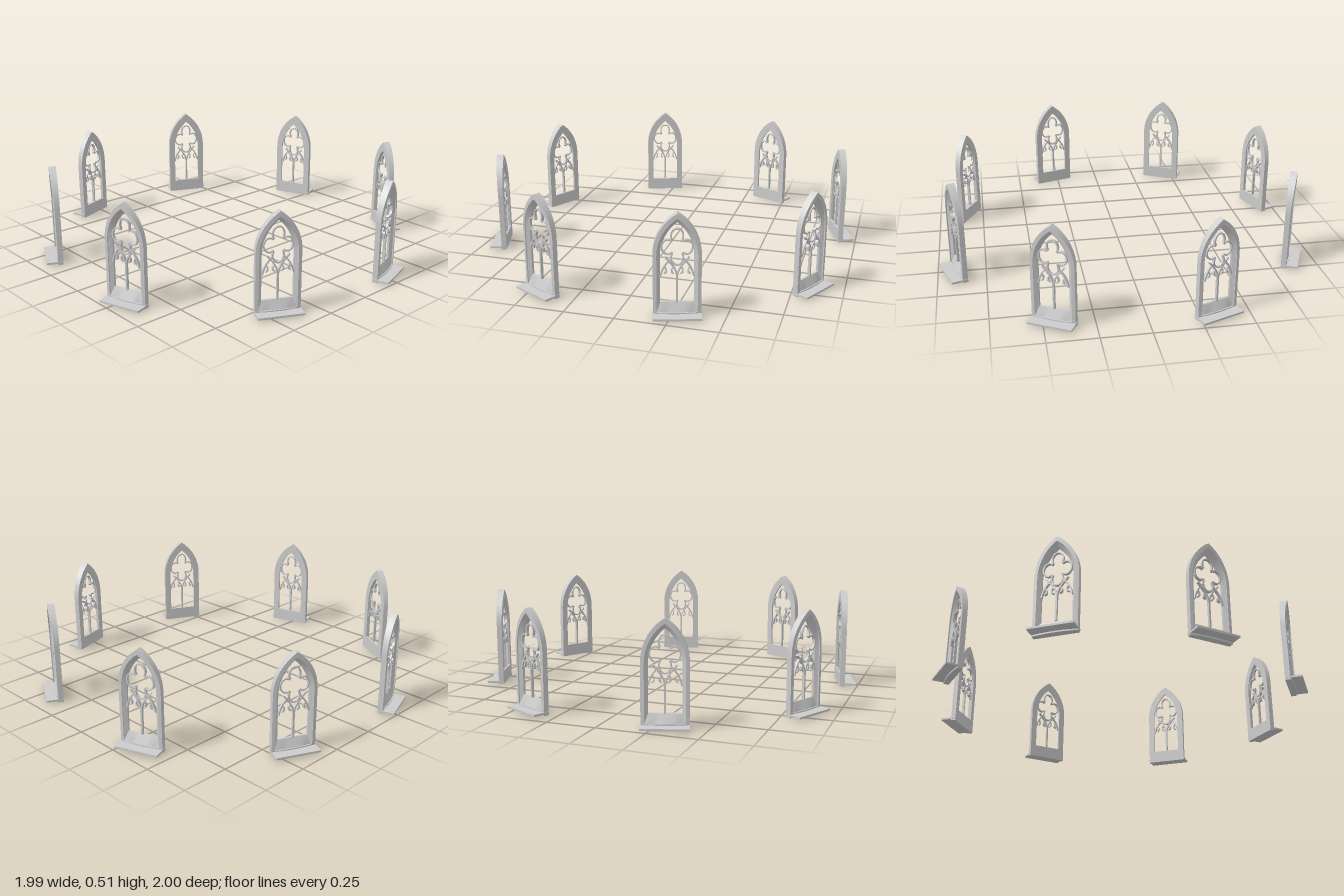
import * as THREE from 'three';
import { toCreasedNormals } from 'three/addons/utils/BufferGeometryUtils.js';

const material = new THREE.MeshStandardMaterial({ color: 0xcccccc });

// Pointed arch outline, anticlockwise seen from the front
function archOutline(half, bottom, spring, apex) {
  const pts = [];
  for (let i = 0; i < 6; i++) pts.push([-half + (2 * half * i) / 6, bottom]);
  pts.push([half, bottom]);
  const rise = apex - spring;
  const r = (half * half + rise * rise) / (2 * half);
  const end = Math.asin(rise / r);
  const arc = [];
  for (let i = 0; i <= 10; i++) {
    const a = (end * i) / 10;
    arc.push([r * Math.cos(a) - (r - half), spring + r * Math.sin(a)]);
  }
  pts.push(...arc);
  for (let i = 9; i >= 0; i--) pts.push([-arc[i][0], arc[i][1]]);
  return pts;
}

// Skin a closed sequence of equal-length loops
function skinLoops(loops) {
  const pos = [];
  loops.forEach((lo, i) => {
    const hi = loops[(i + 1) % loops.length];
    for (let j = 0; j < lo.length; j++) {
      const k = (j + 1) % lo.length;
      pos.push(...lo[j], ...lo[k], ...hi[k], ...lo[j], ...hi[k], ...hi[j]);
    }
  });
  const geo = new THREE.BufferGeometry();
  geo.setAttribute('position', new THREE.Float32BufferAttribute(pos, 3));
  return toCreasedNormals(geo, 0.5);
}

// Flat stone bar following a 2D path
function bar(name, path, width, closed = false) {
  const n = path.length;
  const left = [], right = [];
  path.forEach((p, i) => {
    const a = closed ? path[(i + n - 1) % n] : path[Math.max(i - 1, 0)];
    const b = closed ? path[(i + 1) % n] : path[Math.min(i + 1, n - 1)];
    const d = new THREE.Vector2().subVectors(b, a).normalize().multiplyScalar(width / 2);
    left.push(new THREE.Vector2(p.x - d.y, p.y + d.x));
    right.push(new THREE.Vector2(p.x + d.y, p.y - d.x));
  });
  let shape;
  if (closed) {
    shape = new THREE.Shape(right);
    shape.holes.push(new THREE.Path(left));
  } else {
    shape = new THREE.Shape([...right, ...left.reverse()]);
  }
  const geo = new THREE.ExtrudeGeometry(shape, { depth: 0.014, bevelEnabled: false });
  geo.translate(0, 0, -0.038);
  const mesh = new THREE.Mesh(toCreasedNormals(geo, 0.5), material);
  mesh.name = name;
  return mesh;
}

const curve = (...pts) =>
  new THREE.SplineCurve(pts.map(([x, y]) => new THREE.Vector2(x, y))).getPoints(10);

function createTracery() {
  const tracery = new THREE.Group();
  tracery.name = 'tracery';
  tracery.add(bar('mullion', [new THREE.Vector2(0, 0.07), new THREE.Vector2(0, 0.215)], 0.009));

  // Quatrefoil of four round lobes meeting in cusps
  const foil = [];
  for (let q = 0; q < 4; q++) {
    const turn = (q * Math.PI) / 2;
    for (let i = 0; i < 16; i++) {
      const a = turn + ((i + 0.5) / 16 - 0.5) * Math.PI * 1.5;
      foil.push(new THREE.Vector2(
        0.043 * Math.cos(turn) + 0.028 * Math.cos(a),
        0.345 + 1.25 * (0.043 * Math.sin(turn) + 0.028 * Math.sin(a))));
    }
  }
  tracery.add(bar('quatrefoil', foil, 0.007, true));

  for (const s of [-1, 1]) {
    // Pointed heads of the two lights
    tracery.add(bar('lightArchInner',
      curve([0, 0.195], [s * 0.006, 0.225], [s * 0.02, 0.252], [s * 0.04, 0.277], [s * 0.055, 0.295]), 0.007));
    tracery.add(bar('lightArchOuter',
      curve([s * 0.077, 0.2], [s * 0.069, 0.228], [s * 0.056, 0.254], [s * 0.038, 0.277], [s * 0.025, 0.29]), 0.007));
    // Curled cusps inside each light
    for (const m of [-1, 1]) {
      const at = (dx, y) => [s * (0.038 + m * dx), y];
      tracery.add(bar('cusp',
        curve(at(0.022, 0.248), at(0.012, 0.234), at(0.015, 0.219), at(0.024, 0.214)), 0.005));
      const tip = new THREE.Mesh(new THREE.CylinderGeometry(0.005, 0.005, 0.014, 10), material);
      tip.name = 'cuspTip';
      tip.rotation.x = Math.PI / 2;
      tip.position.set(s * (0.038 + m * 0.014), 0.222, -0.031);
      tracery.add(tip);
    }
  }
  return tracery;
}

function createWindow() {
  const win = new THREE.Group();
  win.name = 'window';

  // Splayed frame with a gently bowed front
  const flat = (pts, z) => pts.map(([x, y]) => [x, y, z]);
  const bowed = (pts, z) => pts.map(([x, y]) => [x, y, z - 0.8 * x * x]);
  const outer = archOutline(0.112, 0, 0.31, 0.513);
  const rim = archOutline(0.095, 0.024, 0.305, 0.488);
  const inner = archOutline(0.078, 0.07, 0.3, 0.463);
  const frame = new THREE.Mesh(skinLoops([
    flat(outer, -0.044),
    bowed(outer, -0.007),
    bowed(rim, -0.007),
    bowed(rim, -0.013),
    flat(inner, -0.033),
    flat(inner, -0.044),
  ]), material);
  frame.name = 'frame';
  win.add(frame);

  // Projecting sill
  const sill = new THREE.Mesh(new THREE.BoxGeometry(0.228, 0.01, 0.087), material);
  sill.name = 'sill';
  sill.position.y = 0.013;
  win.add(sill, createTracery());
  return win;
}

export function createModel() {
  const model = new THREE.Group();
  model.name = 'windowRing';
  const windowUnit = createWindow();
  // x, z and heading in degrees of each window around the ring
  const places = [
    [0.283, 0.92, 17.5], [0.852, 0.456, 61.9], [0.911, -0.342, 110.2], [0.418, -0.882, 154.8],
    [-0.313, -0.922, 199], [-0.866, -0.443, 243], [-0.922, 0.286, 287.5], [-0.446, 0.851, 332.5],
  ];
  for (const [x, z, deg] of places) {
    const w = windowUnit.clone();
    w.position.set(x, 0, z);
    w.rotation.y = THREE.MathUtils.degToRad(deg);
    model.add(w);
  }
  return model;
}
